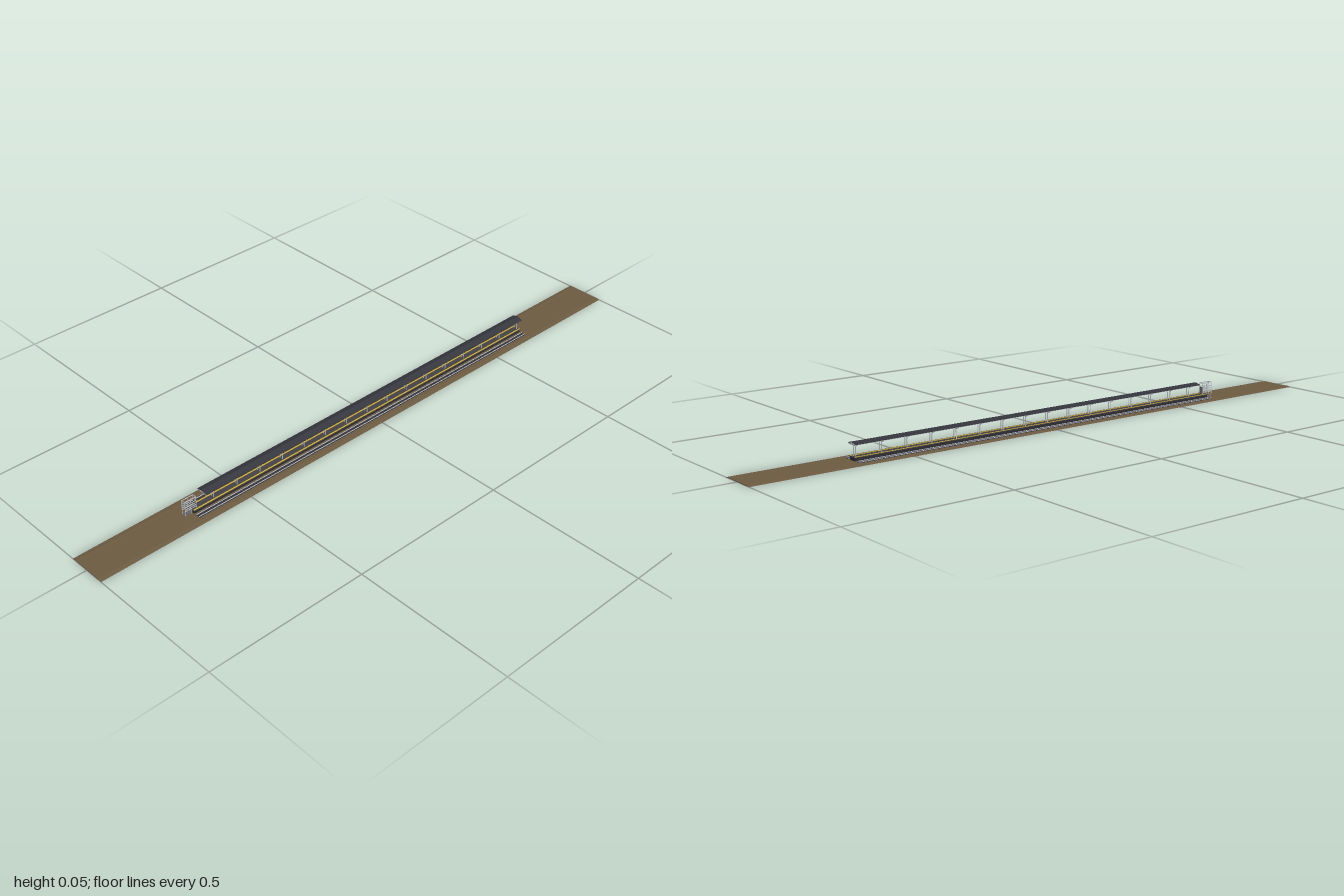
import * as THREE from 'three';
import { mergeGeometries } from 'three/addons/utils/BufferGeometryUtils.js';

const mat = (name, color) => {
  const m = new THREE.MeshStandardMaterial({ color });
  m.name = name;
  return m;
};

// Box from its limits on each axis
const box = (x0, x1, y0, y1, z0, z1) =>
  new THREE.BoxGeometry(x1 - x0, y1 - y0, z1 - z0)
    .translate((x0 + x1) / 2, (y0 + y1) / 2, (z0 + z1) / 2);

// Cross-section in x and y, swept from z0 to z1
const sweep = (points, z0, z1) =>
  new THREE.ExtrudeGeometry(
    new THREE.Shape(points.map(([x, y]) => new THREE.Vector2(x, y))),
    { depth: z1 - z0, bevelEnabled: false }
  ).translate(0, 0, z0);

export function createModel() {
  const group = new THREE.Group();
  const earth = mat('earth brown', 0x6b5a40);
  const slate = mat('slate roof', 0x34343c);
  const concrete = mat('concrete', 0x6c6c70);
  const paving = mat('dark paving', 0x414148);
  const dark = mat('dark timber', 0x2c2c31);
  const steel = mat('steel', 0xb4b8be);
  const yellow = mat('safety yellow', 0xd0ab2a);

  const add = (name, material, ...parts) => {
    const mesh = new THREE.Mesh(parts.length > 1 ? mergeGeometries(parts) : parts[0], material);
    mesh.name = name;
    group.add(mesh);
  };
  const back = -0.66, front = 0.66, roofFront = 0.62;

  // Thin ground strip with very shallow banks
  add('ground', earth, sweep([
    [-0.0625, 0], [0.0625, 0], [0.049, 0.0022], [0.04, 0.0018],
    [-0.04, 0.0018], [-0.049, 0.0022]], -1, 1));

  // Tracks on both sides of the platform
  const beds = [], sleepers = [], rails = [];
  for (const side of [-1, 1]) {
    const cx = side * 0.028;
    beds.push(box(cx - 0.009, cx + 0.009, 0.0014, 0.0022, back, front));
    for (let i = 0; i < 150; i++) {
      const z = back + 0.0044 + i * 0.0088;
      sleepers.push(box(cx - 0.0088, cx + 0.0088, 0.0022, 0.0029, z - 0.0024, z + 0.0024));
    }
    for (const off of [-0.0058, 0.0058])
      rails.push(box(cx + off - 0.0011, cx + off + 0.0011, 0.0029, 0.0042, back, front));
  }
  add('trackBeds', paving, ...beds);
  add('sleepers', dark, ...sleepers);
  add('rails', steel, ...rails);

  // Platform with recessed base, overhanging deck and warning lines
  add('platformBase', dark, box(-0.013, 0.013, 0.0018, 0.0105, back, front));
  add('platformDeck', paving, box(-0.0155, 0.0155, 0.0105, 0.0125, back, front));
  add('warningLines', yellow, ...[-1, 1].map(s =>
    box(s * 0.0115 - 0.0023, s * 0.0115 + 0.0023, 0.0125, 0.013, back, front)));

  // Canopy columns in pairs, with cross beams and braces
  const columns = [], beams = [];
  for (let i = 0; i < 16; i++) {
    const z = 0.585 - i * 0.0825;
    for (const s of [-1, 1]) {
      columns.push(box(s * 0.005 - 0.0009, s * 0.005 + 0.0009, 0.0125, 0.046, z - 0.001, z + 0.001));
      const brace = new THREE.BoxGeometry(0.0012, 0.011, 0.0014);
      brace.rotateZ(-s * 1.0).translate(s * 0.0095, 0.0425, z);
      beams.push(brace);
    }
    beams.push(box(-0.0165, 0.0165, 0.0435, 0.0475, z - 0.001, z + 0.001));
  }
  add('canopyColumns', steel, ...columns);
  add('canopyBeams', steel, ...beams);
  add('canopyPurlins', steel, ...[-0.016, -0.005, 0.005, 0.016].map(x =>
    box(x - 0.0007, x + 0.0007, 0.0455, 0.048, back, roofFront)));

  // Pale gable panels closing both ends of the canopy
  add('canopyGables', steel, ...[back + 0.001, roofFront - 0.003].map(z => sweep([
    [-0.0165, 0.044], [0.0165, 0.044], [0.0165, 0.0481], [0, 0.0525],
    [-0.0165, 0.0481]], z, z + 0.002)));

  // Shallow gabled canopy roof
  add('canopyRoof', slate, sweep([
    [-0.019, 0.0475], [0, 0.0525], [0.019, 0.0475],
    [0.019, 0.049], [0, 0.0543], [-0.019, 0.049]], back, roofFront));

  // Entrance stair at the front end of the platform
  const steps = [], frame = [];
  for (let i = 0; i < 5; i++)
    steps.push(box(-0.006, 0.006, 0.0018, 0.0125 - i * 0.002, front + i * 0.005, front + (i + 1) * 0.005));
  add('entranceSteps', concrete, ...steps);
  add('entranceScreen', concrete, box(-0.006, 0.006, 0.0125, 0.036, 0.645, 0.647));

  // Open entrance frame with posts, rails and top ring
  for (const x of [-0.0066, 0.0066]) {
    for (const z of [0.646, 0.665, 0.684])
      frame.push(box(x - 0.0006, x + 0.0006, 0.0018, 0.048, z - 0.0007, z + 0.0007));
    for (const y of [0.018, 0.024, 0.03, 0.037])
      frame.push(box(x - 0.0006, x + 0.0006, y - 0.001, y + 0.001, 0.645, 0.685));
    frame.push(box(x - 0.0006, x + 0.0006, 0.047, 0.0495, 0.645, 0.685));
  }
  for (const z of [0.646, 0.684])
    frame.push(box(-0.0072, 0.0072, 0.047, 0.0495, z - 0.0007, z + 0.0007));
  add('entranceFrame', steel, ...frame);

  return group;
}
